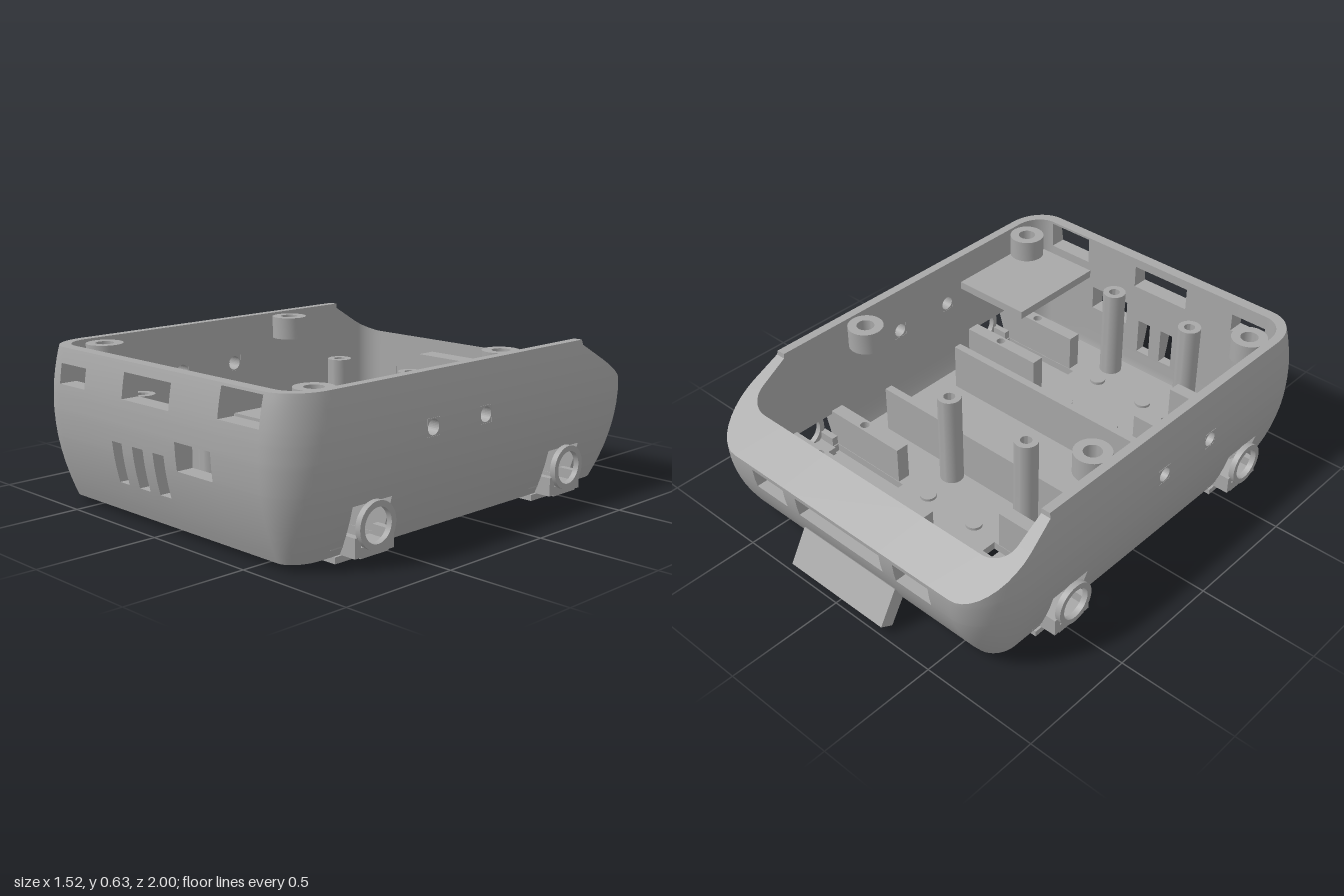
import * as THREE from 'three';
import { toCreasedNormals } from 'three/addons/utils/BufferGeometryUtils.js';

const grey = new THREE.MeshStandardMaterial({ color: 0xa8a8a8 });
grey.name = 'casing grey';

const BASE = 0.025, TOP = 0.63, FLOOR = 0.06;
const CX = 0.585, CF = 0.8, CB = 0.72; // centres of the rounded corners

// Bulging outer profile and straight inner profile: half width, front, back
function extents(y, inner) {
  const up = y > 0.4;
  const d = up ? 0.38 * ((y - 0.4) / 0.23) ** 2 : ((0.4 - y) / 0.375) ** 2;
  const out = [0.755 - 0.085 * d, 1 - 0.08 * d, 0.965 - 0.145 * d];
  return inner ? [Math.min(0.685, out[0] - 0.015), Math.min(0.92, out[1] - 0.015), Math.min(0.8, out[2] - 0.015)] : out;
}

// Point on the wall for a station of the outline
function wallPoint(s, y, inner) {
  const [w, f, b] = extents(y, inner);
  return [s.cx + s.dx * (w - CX), y, s.cz + s.dz * (s.dz > 0 ? f - CF : b - CB)];
}

// Rim height: level, then sloping down to the back
const rimHeight = z => (z > -0.6 ? TOP : 0.61 - (-0.6 - z) * 0.61);

function cutPoint(s, level, inner) {
  let y = level;
  for (let k = 0; k < 14; k++) y = Math.min(level, rimHeight(wallPoint(s, y, inner)[2]));
  return wallPoint(s, y, inner);
}

// Openings: side, from, to, bottom, top
const openings = [
  ['front', -0.585, -0.42, 0.49, 0.57], ['front', -0.18, 0.1, 0.49, 0.59], ['front', 0.37, 0.585, 0.505, 0.62],
  ['front', -0.25, -0.19, 0.155, 0.32], ['front', -0.125, -0.06, 0.155, 0.32], ['front', 0, 0.065, 0.155, 0.32],
  ['front', 0.135, 0.335, 0.275, 0.385],
  ['back', -0.48, -0.3, 0.28, 0.37], ['back', -0.23, 0.23, 0.28, 0.37], ['back', 0.3, 0.48, 0.28, 0.37],
];
const axles = [0.608, -0.485], sideHoles = [0.32, 0.03], SIDE_Y = 0.43, HS = 0.034;
for (const side of ['left', 'right']) {
  for (const z of axles) openings.push([side, z - 0.097, z + 0.097, BASE, 0.21]);
  for (const z of sideHoles) openings.push([side, z - HS, z + HS, SIDE_Y - HS, SIDE_Y + HS]);
}
const sorted = list => [...new Set(list)].sort((a, b) => a - b);

// Stations run counterclockwise seen from above
function outline() {
  const list = [];
  const marks = (side, extra) => sorted([...extra, ...openings.filter(o => o[0] === side).flatMap(o => [o[1], o[2]])]);
  const corner = (cx, cz, start) => {
    for (let k = 1; k < 10; k++) {
      const a = start + k * Math.PI / 20;
      list.push({ side: 'corner', cx, cz, dx: Math.cos(a), dz: Math.sin(a) });
    }
  };
  const run = (side, vals, make) => vals.forEach(v => list.push({ side, v, ...make(v) }));
  const sideMarks = [-CB, -0.601, -0.599, CF];
  run('front', marks('front', [-CX, CX]), x => ({ cx: x, cz: CF, dx: 0, dz: 1 }));
  [...Array(9).keys()].reverse().forEach(k => {
    const a = (k + 1) * Math.PI / 20;
    list.push({ side: 'corner', cx: CX, cz: CF, dx: Math.cos(a), dz: Math.sin(a) });
  });
  run('left', marks('left', sideMarks).reverse(), z => ({ cx: CX, cz: z, dx: 1, dz: 0 }));
  for (let k = 1; k < 10; k++) {
    const a = k * Math.PI / 20;
    list.push({ side: 'corner', cx: CX, cz: -CB, dx: Math.cos(a), dz: -Math.sin(a) });
  }
  run('back', marks('back', [-CX, CX]).reverse(), x => ({ cx: x, cz: -CB, dx: 0, dz: -1 }));
  for (let k = 1; k < 10; k++) {
    const a = k * Math.PI / 20;
    list.push({ side: 'corner', cx: -CX, cz: -CB, dx: -Math.sin(a), dz: -Math.cos(a) });
  }
  run('right', marks('right', sideMarks), z => ({ cx: -CX, cz: z, dx: -1, dz: 0 }));
  corner(-CX, CF, Math.PI);
  // last corner turns from -x to +z
  list.slice(-9).forEach((s, k) => {
    const a = (k + 1) * Math.PI / 20;
    s.dx = -Math.cos(a);
    s.dz = Math.sin(a);
  });
  return list;
}

// Double wall with reveals around each opening and a closed rim
function shellGeometry(st) {
  const ys = sorted([BASE, 0.06, 0.1, 0.25, 0.45, 0.54, 0.6, TOP, ...openings.flatMap(o => [o[3], o[4]])]);
  const n = st.length, pos = [];
  const out = st.map(s => ys.map(y => cutPoint(s, y, false)));
  const inn = st.map(s => ys.map(y => cutPoint(s, y, true)));
  const V = p => new THREE.Vector3(...p);
  const tri = (a, b, c) => {
    if (V(b).sub(V(a)).cross(V(c).sub(V(a))).length() > 1e-8) pos.push(...a, ...b, ...c);
  };
  const quad = (a, b, c, d) => { tri(a, b, c); tri(a, c, d); };
  const open = (i, j) => {
    const a = st[(i + n) % n], b = st[(i + 1 + n) % n];
    if (j < 0 || j > ys.length - 2 || a.side !== b.side || a.side === 'corner') return false;
    const u = (a.v + b.v) / 2, y = (ys[j] + ys[j + 1]) / 2;
    return openings.some(o => o[0] === a.side && u > o[1] && u < o[2] && y > o[3] && y < o[4]);
  };
  for (let i = 0; i < n; i++) {
    const k = (i + 1) % n, o = out[i], p = out[k], a = inn[i], b = inn[k];
    for (let j = 0; j < ys.length - 1; j++) {
      const t = j + 1;
      if (!open(i, j)) {
        quad(o[j], p[j], p[t], o[t]);
        quad(b[j], a[j], a[t], b[t]);
        continue;
      }
      if (!open(i - 1, j)) quad(o[j], a[j], a[t], o[t]);
      if (!open(i + 1, j)) quad(b[j], p[j], p[t], b[t]);
      if (!open(i, j - 1)) quad(o[j], p[j], b[j], a[j]);
      if (!open(i, j + 1)) quad(a[t], b[t], p[t], o[t]);
    }
    const e = ys.length - 1;
    quad(o[e], p[e], b[e], a[e]);
  }
  const g = new THREE.BufferGeometry();
  g.setAttribute('position', new THREE.Float32BufferAttribute(pos, 3));
  return toCreasedNormals(g, 0.5);
}

const rect = (x0, x1, y0, y1, T = THREE.Shape) => new T([[x0, y0], [x1, y0], [x1, y1], [x0, y1]].map(p => new THREE.Vector2(...p)));
const circle = (x, y, r) => new THREE.Path().absarc(x, y, r, 0, Math.PI * 2, true);
const extrude = (shape, depth) => new THREE.ExtrudeGeometry(shape, { depth, bevelEnabled: false, curveSegments: 16 });

export function createModel() {
  const model = new THREE.Group();
  model.name = 'openCasing';
  const add = (name, geo, x = 0, y = 0, z = 0) => {
    const m = new THREE.Mesh(geo, grey);
    m.name = name;
    m.position.set(x, y, z);
    model.add(m);
    return m;
  };
  const box = (name, x0, x1, y0, y1, z0, z1) => add(name, new THREE.BoxGeometry(Math.abs(x1 - x0), y1 - y0, z1 - z0), (x0 + x1) / 2, (y0 + y1) / 2, (z0 + z1) / 2);
  const lathe = pts => toCreasedNormals(new THREE.LatheGeometry(pts.map(p => new THREE.Vector2(...p)), 32), 0.6);
  const ring = (ri, ro, h) => lathe([[ri, 0], [ro, 0], [ro, h], [ri, h], [ri, 0]]);

  const st = outline();
  add('shellWall', shellGeometry(st));

  // Floor with four motor cut-outs
  const floor = new THREE.Shape(st.map(s => wallPoint(s, BASE, false)).map(p => new THREE.Vector2(p[0], -p[2])));
  for (const s of [-1, 1]) for (const z of axles) {
    const a = s * 0.26, b = s * 0.66;
    floor.holes.push(rect(Math.min(a, b), Math.max(a, b), -z - 0.095, -z + 0.095, THREE.Path));
  }
  add('floor', extrude(floor, FLOOR - BASE).rotateX(-Math.PI / 2), 0, BASE);

  for (const s of [-1, 1]) {
    for (const z of axles) {
      // Motor bay: pad, two clamping blocks and the axle ring on its foot
      box('motorPad', s * 0.285, s * 0.68, 0, BASE, z - 0.13, z + 0.13);
      for (const e of [-1, 1]) {
        const block = rect(-0.2, 0.2, -0.029, 0.029);
        block.holes.push(circle(s * 0.025, 0, 0.02));
        add('motorBlock', extrude(block, 0.17).rotateX(-Math.PI / 2), s * 0.485, 0.055, z + e * 0.126);
        box('ringFootSide', s * 0.665, s * 0.745, BASE, 0.1, z + e * 0.083 - 0.014, z + e * 0.083 + 0.014);
      }
      box('ringFoot', s * 0.65, s * 0.745, 0.02, 0.06, z - 0.07, z + 0.07);
      add('axleRing', ring(0.067, 0.09, 0.024).rotateZ(Math.PI / 2), s * 0.75 + 0.012, 0.13, z);
      // Low locating studs on the floor
      for (const e of [-1, 1]) add('floorStud', new THREE.CylinderGeometry(0.035, 0.035, 0.012, 24), s * 0.13, FLOOR + 0.006, z + e * 0.115);
    }
    // Round side holes
    for (const z of sideHoles) {
      const plate = rect(-HS, HS, -HS, HS);
      plate.holes.push(circle(0, 0, 0.03));
      add('sideHole', extrude(plate, 0.068).rotateY(Math.PI / 2), s > 0 ? 0.686 : -0.754, SIDE_Y, z);
    }
    // Lid screw bosses
    for (const z of [0.765, -0.23]) add('lidBoss', ring(0.037, 0.075, 0.095), s * 0.608, 0.525, z);
    box('rearPocketBack', s * 0.29, s * 0.49, 0.27, 0.38, -0.85, -0.801);
  }

  // Tall board posts
  for (const x of [-0.265, 0.15]) for (const z of [-0.21, 0.84]) {
    add('boardPost', lathe([[0, 0], [0.05, 0], [0.05, 0.425], [0.024, 0.425], [0.024, 0.33], [0, 0.33]]), x, 0.05, z);
  }

  // Cross ribs, side shelf and rear ledge
  box('crossRib', -0.58, 0.58, 0.05, 0.275, -0.17, -0.135);
  box('crossRib', -0.58, 0.58, 0.05, 0.275, 0.255, 0.29);
  box('sideShelf', 0.32, 0.69, 0.465, 0.5, 0.41, 0.875);
  box('rearPocketBack', -0.24, 0.24, 0.27, 0.38, -0.85, -0.801);
  box('rearLedge', -0.255, 0.25, 0.36, 0.43, -0.81, -0.71);

  // Slanted tab at the back
  const tab = new THREE.Shape([[0.92, 0.185], [1, 0.045], [0.945, 0.015], [0.865, 0.15]].map(p => new THREE.Vector2(...p)));
  add('rearTab', extrude(tab, 0.505).rotateY(Math.PI / 2), -0.255);
  return model;
}
